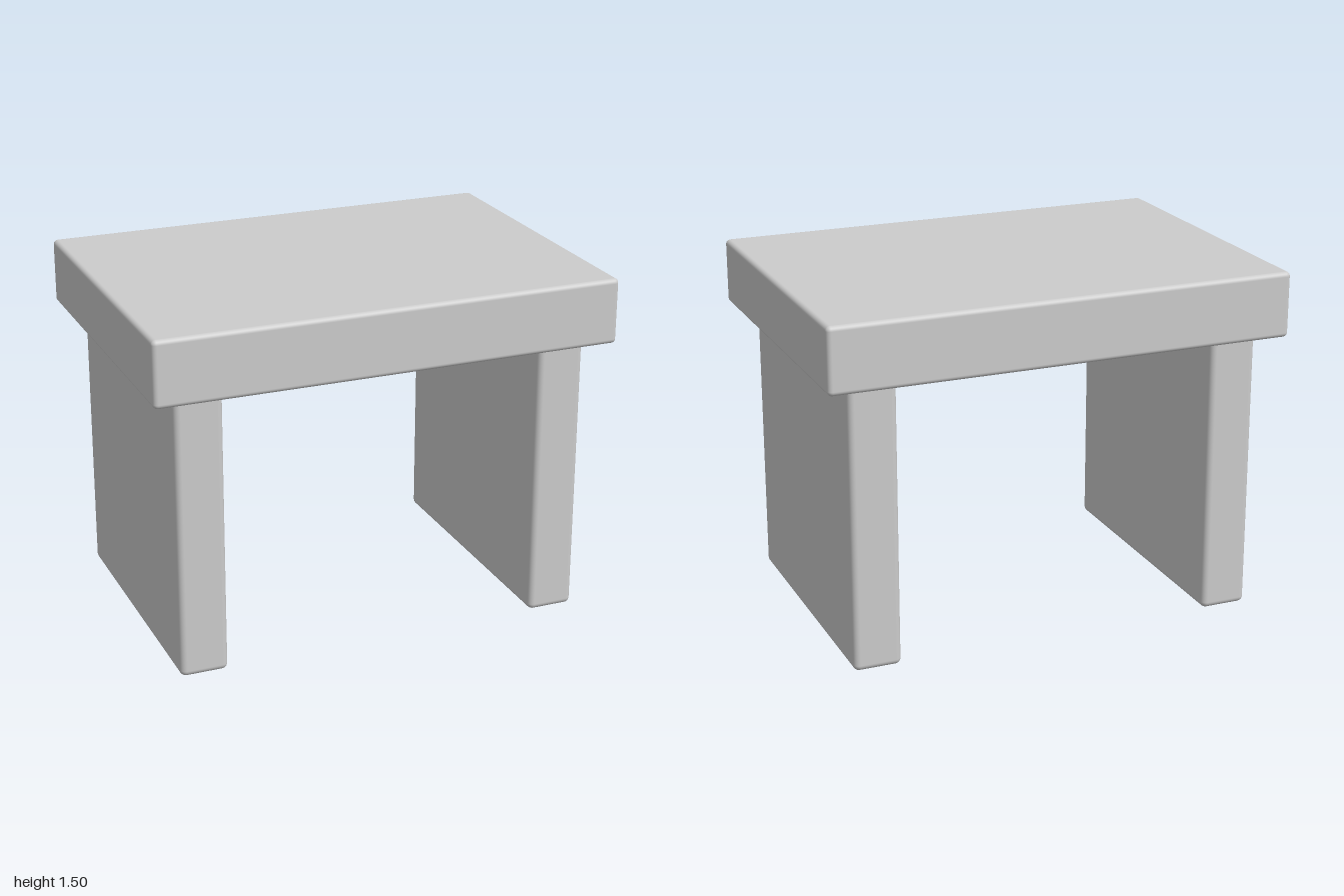
import * as THREE from 'three';
import { RoundedBoxGeometry } from 'three/addons/geometries/RoundedBoxGeometry.js';

export function createModel() {
  const model = new THREE.Group();
  model.name = 'table';
  const material = new THREE.MeshStandardMaterial({ color: 0xcccccc });

  // Softly rounded board, placed by its centre
  function addBoard(name, [w, h, d], radius, [x, y, z]) {
    const mesh = new THREE.Mesh(new RoundedBoxGeometry(w, h, d, 4, radius), material);
    mesh.name = name;
    mesh.position.set(x, y, z);
    model.add(mesh);
  }

  // Thick overhanging top
  addBoard('tableTop', [2, 0.28, 1.41], 0.02, [0, 1.36, 0]);

  // Two upright slab legs
  for (const [name, side] of [['leftLeg', 1], ['rightLeg', -1]]) {
    addBoard(name, [0.204, 1.22, 1.232], 0.026, [side * 0.792, 0.61, 0]);
  }

  return model;
}
